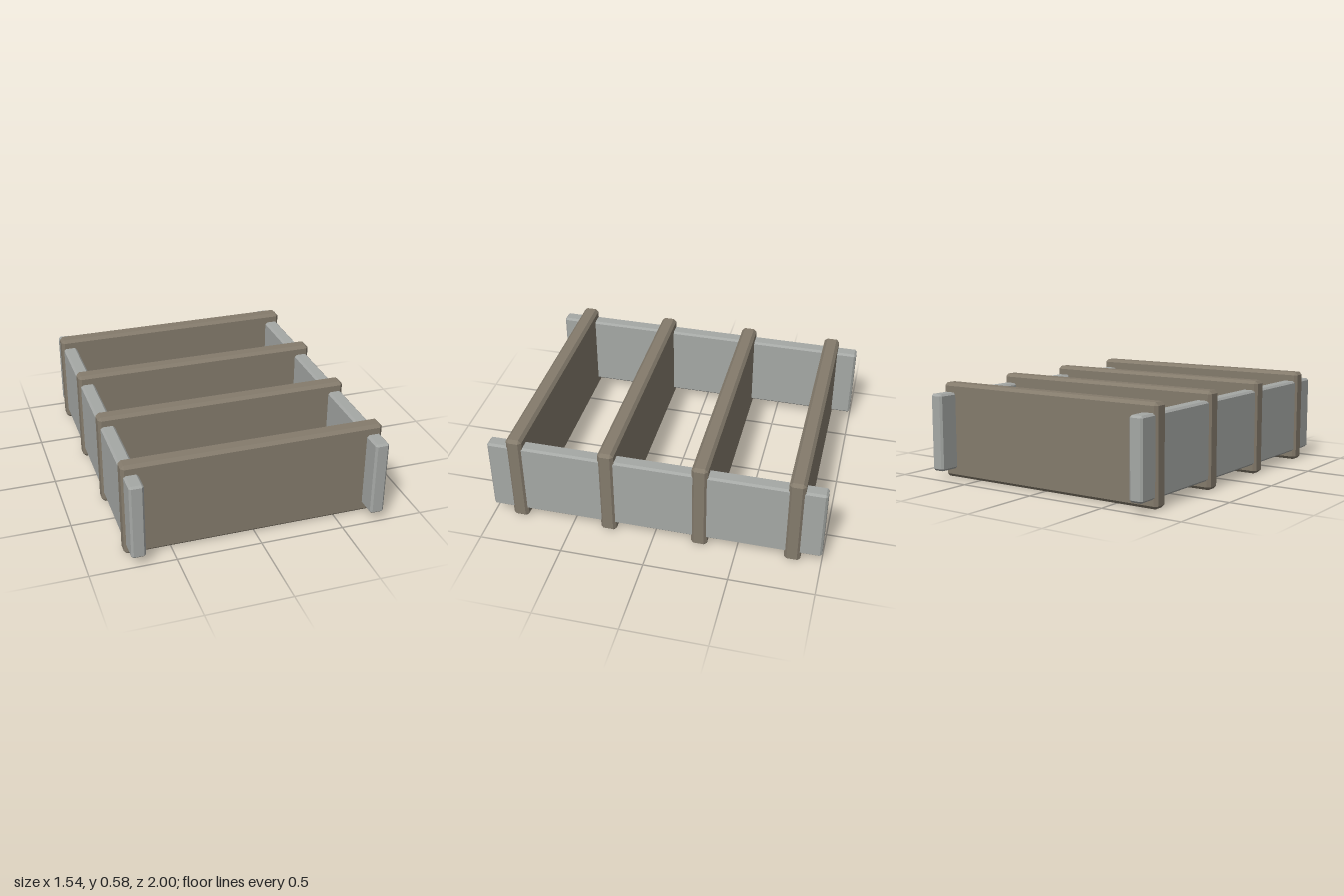
import * as THREE from 'three';
import { ConvexGeometry } from 'three/addons/geometries/ConvexGeometry.js';

// Box with flat chamfers along all edges
function chamferBox(w, h, d, c) {
  const points = [];
  for (const sx of [-1, 1]) for (const sy of [-1, 1]) for (const sz of [-1, 1]) {
    for (let axis = 0; axis < 3; axis++) {
      // each corner gives three points, one on each meeting face
      const inset = [c, c, c];
      inset[axis] = 0;
      points.push(new THREE.Vector3(
        sx * (w / 2 - inset[0]), sy * (h / 2 - inset[1]), sz * (d / 2 - inset[2])));
    }
  }
  return new ConvexGeometry(points);
}

export function createModel() {
  const group = new THREE.Group();
  const boardMaterial = new THREE.MeshStandardMaterial({ color: 0x847b6c });
  const railMaterial = new THREE.MeshStandardMaterial({ color: 0xa5a8a5 });

  const add = (name, geometry, material, x, y, z) => {
    const mesh = new THREE.Mesh(geometry, material);
    mesh.name = name;
    mesh.position.set(x, y, z);
    group.add(mesh);
  };

  // Two long side rails
  const railGeometry = chamferBox(0.084, 0.464, 2, 0.012);
  for (const side of [-1, 1]) {
    add(side > 0 ? 'leftRail' : 'rightRail', railGeometry, railMaterial, side * 0.716, 0.288, 0);
  }

  // Four evenly spaced cross boards, taller than the rails
  const boardGeometry = chamferBox(1.54, 0.576, 0.096, 0.018);
  for (let i = 0; i < 4; i++) {
    add(`crossBoard${i + 1}`, boardGeometry, boardMaterial, 0, 0.288, -0.83 + i * 0.5533);
  }
  return group;
}
